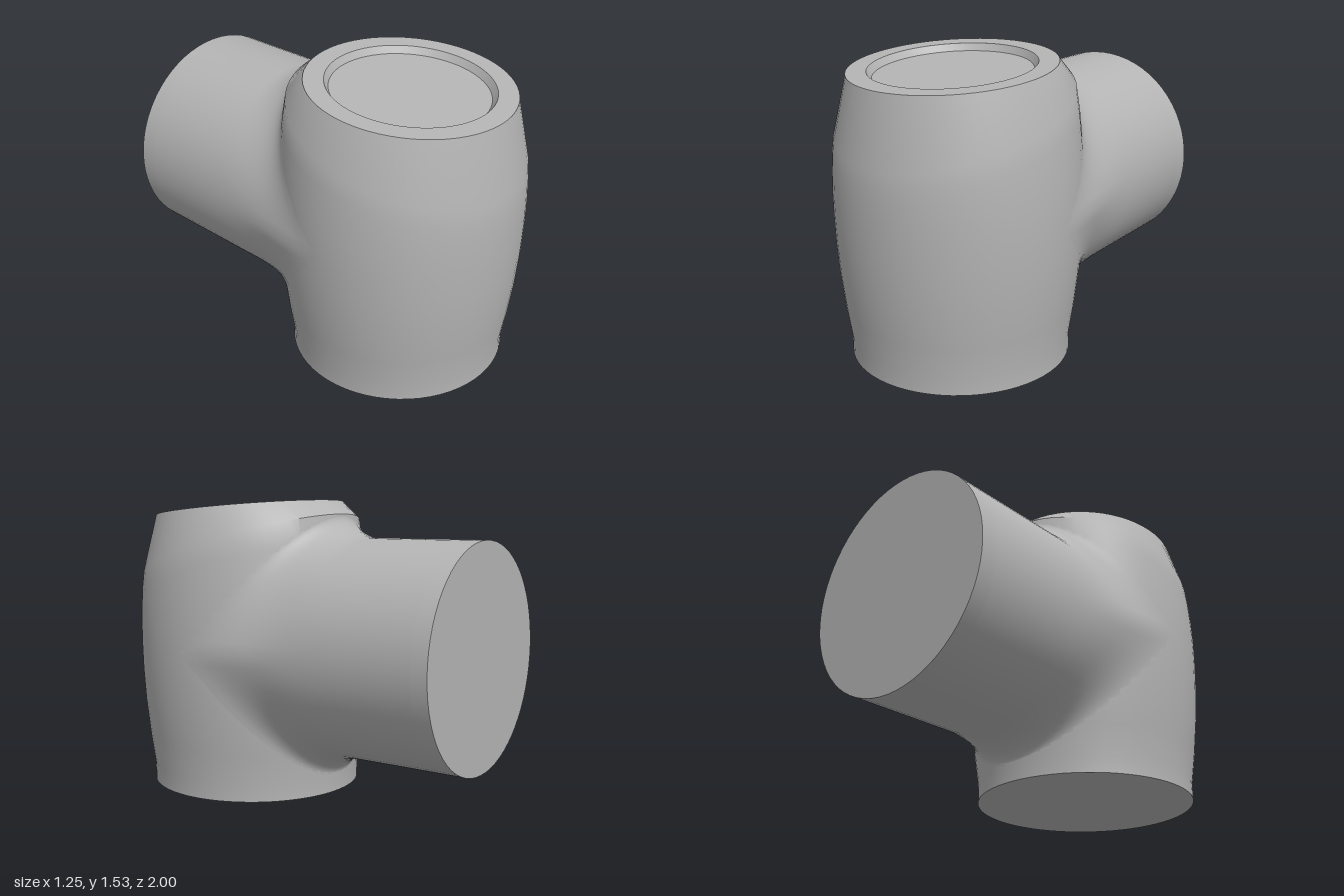
import * as THREE from 'three';
import { toCreasedNormals } from 'three/addons/utils/BufferGeometryUtils.js';

const SIDES = 64;
const BRANCH_Y = 0.77, BRANCH_R = 0.565;

// Body rings: height, centre z, radius, tilt (change of y per z)
const RINGS = [
  [0, 0.375, 0.565, 0], [0.09, 0.375, 0.565, 0], [0.25, 0.375, 0.588, 0],
  [0.45, 0.375, 0.61, 0], [0.62, 0.375, 0.621, 0], [0.78, 0.375, 0.625, -0.03],
  [0.92, 0.378, 0.623, -0.1], [1.05, 0.385, 0.615, -0.18], [1.17, 0.393, 0.604, -0.26],
  [1.27, 0.4, 0.59, -0.31], [1.48, 0.41, 0.51, -0.089],
];

function bodyPoint(t, angle) {
  const i = Math.min(Math.floor(t), RINGS.length - 2);
  const [y, cz, r, tilt] = RINGS[i].map((a, k) => THREE.MathUtils.lerp(a, RINGS[i + 1][k], t - i));
  const dz = -r * Math.sin(angle);
  return new THREE.Vector3(r * Math.cos(angle), y + tilt * dz, cz + dz);
}

// Point of the body at a given height and angle
function bodyAtHeight(y, angle) {
  let lo = 0, hi = RINGS.length - 1;
  for (let k = 0; k < 30; k++) {
    const mid = (lo + hi) / 2;
    if (bodyPoint(mid, angle).y < y) lo = mid; else hi = mid;
  }
  return bodyPoint(lo, angle);
}

// Closed loops of points joined into a tube-like skin
function skin(rows, crease) {
  const n = SIDES, pos = [], index = [];
  rows.forEach(row => row.forEach(p => pos.push(p.x, p.y, p.z)));
  for (let j = 0; j < rows.length - 1; j++) {
    for (let i = 0; i < n; i++) {
      const a = j * n + i, b = j * n + (i + 1) % n;
      index.push(a, b, a + n, b, b + n, a + n);
    }
  }
  const g = new THREE.BufferGeometry();
  g.setAttribute('position', new THREE.Float32BufferAttribute(pos, 3));
  g.setIndex(index);
  return toCreasedNormals(g, crease);
}

const loop = f => Array.from({ length: SIDES }, (_, i) => f(i / SIDES * Math.PI * 2));

// Blend curve from the branch pipe onto the body, at an angle round the branch
function blendCurve(phi) {
  const c = Math.cos(phi), s = Math.sin(phi);
  const theta = Math.atan2(Math.abs(s), c);
  const start = new THREE.Vector3(BRANCH_R * c, BRANCH_Y + BRANCH_R * s, -0.39);
  const end = bodyAtHeight(BRANCH_Y + 0.68 * s, theta);
  const normal = new THREE.Vector3(Math.cos(theta), 0, -Math.sin(theta));
  const along = start.clone().sub(end);
  along.addScaledVector(normal, -along.dot(normal));
  const h1 = start.clone();
  h1.z += 0.5 * (end.z - start.z);
  const h2 = end.clone().addScaledVector(along, 0.42);
  return new THREE.CubicBezierCurve3(start, h1, h2, end);
}

export function createModel() {
  const group = new THREE.Group();
  const grey = new THREE.MeshStandardMaterial({ color: 0xb4b4b4 });
  const add = (name, geometry) => {
    const mesh = new THREE.Mesh(geometry, grey);
    mesh.name = name;
    group.add(mesh);
    return mesh;
  };

  // Barrel-shaped upright body
  add('body', skin(RINGS.map((_, t) => loop(a => bodyPoint(t, a))), 0.6));
  const base = add('bodyBase', new THREE.CircleGeometry(0.565, SIDES));
  base.rotation.x = Math.PI / 2;
  base.position.z = 0.375;

  // Tilted rim with a shallow round recess
  const profile = [[0.513, 0], [0.413, 0], [0.39, -0.035], [0, -0.035]];
  const rim = add('recessedRim', toCreasedNormals(
    new THREE.LatheGeometry(profile.map(p => new THREE.Vector2(...p)), SIDES), 0.5));
  rim.position.set(0, 1.48, 0.41);
  rim.rotation.x = Math.atan(0.089);

  // Horizontal branch flowing into the body
  const curves = loop(blendCurve);
  const rows = [loop(a => new THREE.Vector3(
    BRANCH_R * Math.cos(a), BRANCH_Y + BRANCH_R * Math.sin(a), -0.915))];
  for (let k = 0; k <= 16; k++) rows.push(curves.map(c => c.getPoint(k / 16)));
  add('branch', skin(rows, 1.0));

  // Short straight collar closing the branch
  const collar = add('branchCollar', new THREE.CylinderGeometry(BRANCH_R, BRANCH_R, 0.085, SIDES));
  collar.rotation.x = Math.PI / 2;
  collar.position.set(0, BRANCH_Y, -0.9575);
  return group;
}
